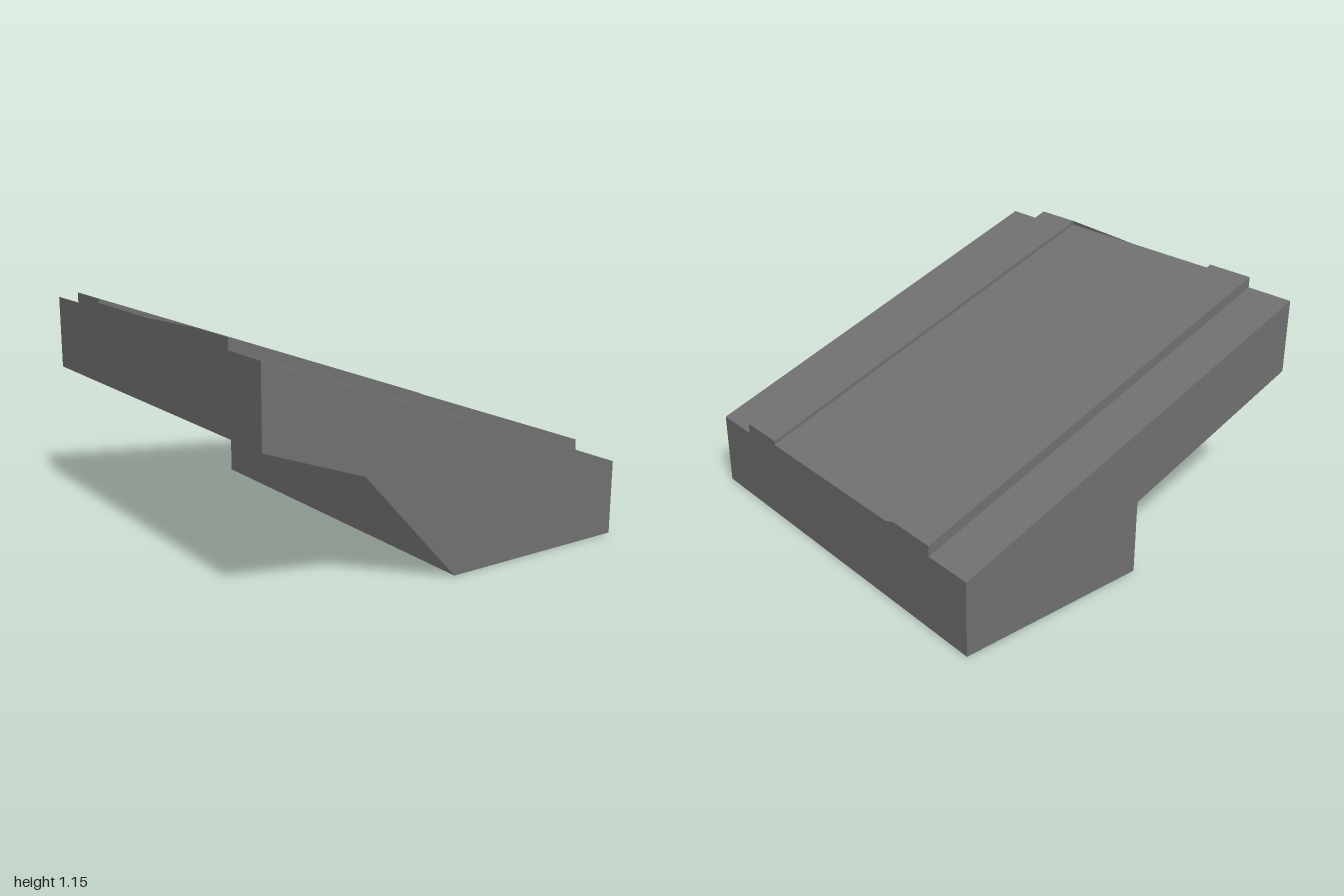
import * as THREE from 'three';

const SHOULDER = 0.735;  // height of the sloping shoulder at x = 0
const RAIL = 0.053;      // rail height above the shoulder
const DECK = 0.032;      // deck height above the shoulder
const THICKNESS = 0.367; // depth of the overhanging slab

const slopeY = (x) => SHOULDER - 0.366 * x;

// Cross-sections from the high end to the low end; the step at x = 0 forms the vertical wall
const stations = [
  { x: -1, underside: slopeY(-1) - THICKNESS },
  { x: 0, underside: slopeY(0) - THICKNESS },
  { x: 0, underside: 0 },
  { x: 1, underside: 0 },
];

const material = new THREE.MeshStandardMaterial({ color: 0x717171, flatShading: true, side: THREE.DoubleSide });

function addMesh(group, name, geometry) {
  const mesh = new THREE.Mesh(geometry, material);
  mesh.name = name;
  group.add(mesh);
}

// Stepped cross-section extruded through the stations
function rampGeometry() {
  const half = [[1, 0], [0.75, 0], [0.75, RAIL], [0.5, RAIL], [0.5, DECK]];
  const top = [...half, ...half.map(([z, h]) => [-z, h]).reverse()];
  const outline = [[-1, 0], [1, 0], ...top.map(([z, h]) => [z, 1 + h])];
  const shape = new THREE.Shape(outline.map(([z, v]) => new THREE.Vector2(z, v)));
  const geometry = new THREE.ExtrudeGeometry(shape, { depth: 3, steps: 3, bevelEnabled: false });
  geometry.rotateY(Math.PI / 2);
  const p = geometry.attributes.position;
  for (let i = 0; i < p.count; i++) {
    const { x, underside } = stations[Math.round(p.getX(i))];
    const v = p.getY(i);
    p.setXYZ(i, x, v < 0.5 ? underside : slopeY(x) + v - 1, p.getZ(i));
  }
  geometry.computeVertexNormals();
  return geometry;
}

function triangleGeometry(...corners) {
  const geometry = new THREE.BufferGeometry().setFromPoints(corners.map((c) => new THREE.Vector3(...c)));
  geometry.computeVertexNormals();
  return geometry;
}

// Thin triangle standing on the deck edge against a rail
function finGeometry(x, railZ, tipZ) {
  const y = slopeY(x);
  return triangleGeometry([x, y + RAIL, railZ], [x, y + DECK, railZ], [x, y + DECK, tipZ]);
}

export function createModel() {
  const group = new THREE.Group();
  group.name = 'ramp';
  addMesh(group, 'rampBody', rampGeometry());
  addMesh(group, 'upperEndFin', finGeometry(-1, 0.5, 0.04));
  addMesh(group, 'lowerEndFin', finGeometry(1, -0.5, -0.44));
  // Thin bracing plate under the overhang, on the front side only
  addMesh(group, 'frontBrace', triangleGeometry(
    [0, 0, 1], [0, slopeY(0) - THICKNESS, 1], [-0.5, slopeY(-0.5) - THICKNESS, 1]));
  return group;
}
